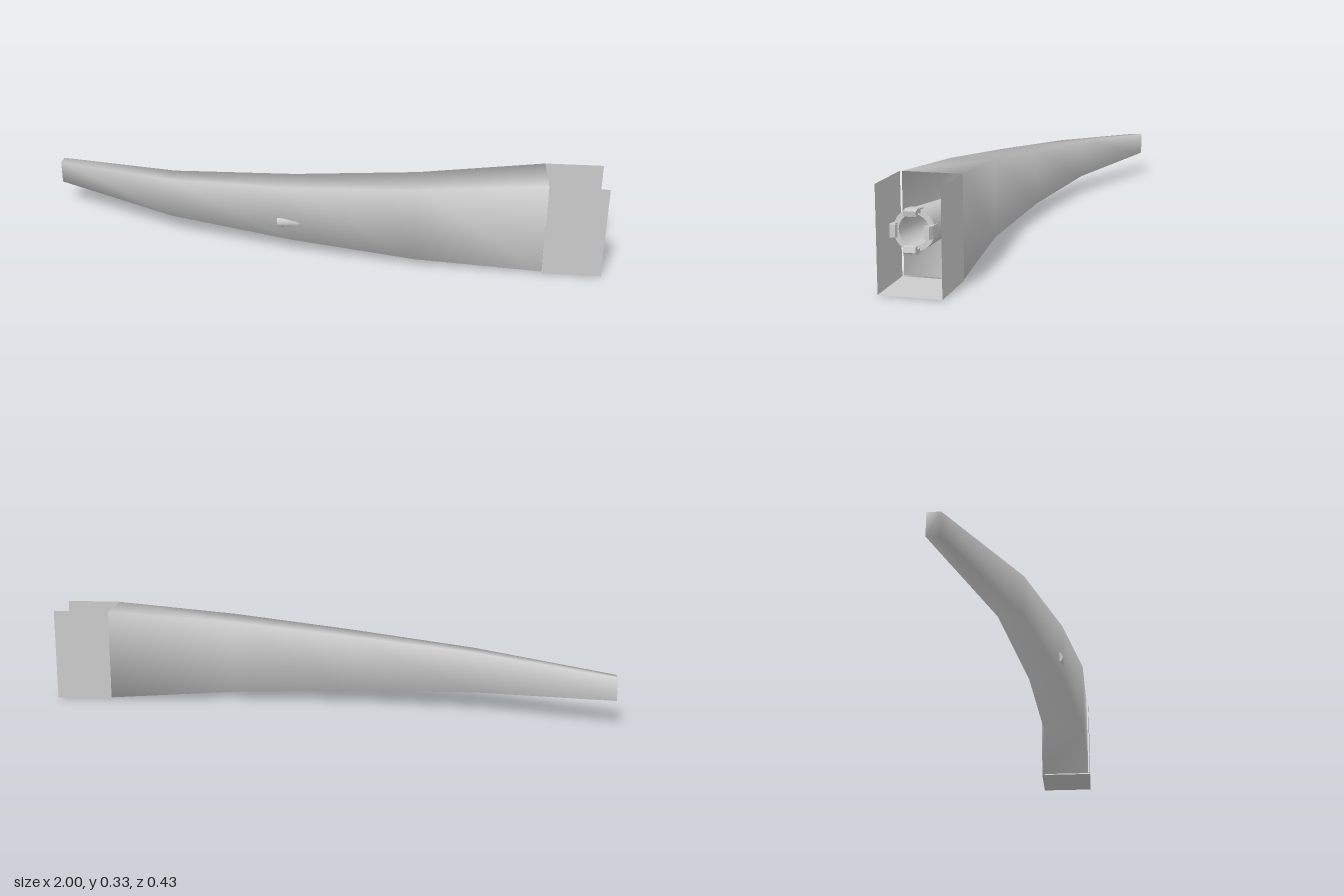
import * as THREE from 'three';

const material = new THREE.MeshStandardMaterial({ color: 0xcccccc, side: THREE.DoubleSide });

function add(parent, geometry, name) {
  const mesh = new THREE.Mesh(geometry, material);
  mesh.name = name;
  parent.add(mesh);
  return mesh;
}

// Hollow four-sided sleeve lofted through [x, yLow, yHigh, zBack, zFront], with shared smooth corners
function loft(sections) {
  const pos = [], idx = [];
  for (const [x, y0, y1, z0, z1] of sections) pos.push(x, y0, z0, x, y0, z1, x, y1, z1, x, y1, z0);
  for (let i = 0; i < sections.length - 1; i++) {
    for (let j = 0; j < 4; j++) {
      const a = i * 4 + j, b = i * 4 + (j + 1) % 4;
      idx.push(a, a + 4, b, b, a + 4, b + 4);
    }
  }
  idx.push(0, 1, 2, 0, 2, 3); // narrow end cap
  const g = new THREE.BufferGeometry();
  g.setAttribute('position', new THREE.Float32BufferAttribute(pos, 3));
  // keep the winding outward
  for (let k = 0; k < idx.length - 6; k += 3) [idx[k + 1], idx[k + 2]] = [idx[k + 2], idx[k + 1]];
  for (let k = idx.length - 6; k < idx.length; k += 3) {
    const [, b, c] = idx.slice(k, k + 3);
    const a = idx[k];
    const p = (n) => new THREE.Vector3().fromArray(pos, n * 3);
    const n = p(b).sub(p(a)).cross(p(c).sub(p(a)));
    if (n.x > 0) [idx[k + 1], idx[k + 2]] = [c, b];
  }
  const v = (n) => new THREE.Vector3().fromArray(pos, n * 3);
  if (v(idx[1]).sub(v(idx[0])).cross(v(idx[2]).sub(v(idx[0]))).y > 0) { // first side is the underside
    for (let k = 0; k < idx.length - 6; k += 3) [idx[k + 1], idx[k + 2]] = [idx[k + 2], idx[k + 1]];
  }
  g.setIndex(idx);
  g.computeVertexNormals();
  return g;
}

// Thin plate
function plate(parent, w, h, x, y, z, name) {
  const m = add(parent, new THREE.PlaneGeometry(w, h), name);
  m.position.set(x, y, z);
  return m;
}

export function createModel() {
  const model = new THREE.Group();
  model.name = 'curvedSleeve';

  // Long curved sleeve
  add(model, loft([
    [-1, 0.086, 0.167, -0.215, -0.172],
    [-0.53, 0.064, 0.208, -0.05, 0.033],
    [-0.08, 0.045, 0.247, 0.02, 0.14],
    [0.36, 0.024, 0.288, 0.05, 0.202],
    [0.8, 0.004, 0.327, 0.018, 0.209],
  ]), 'sleeve');

  // Open-topped mouth: two walls and a floor
  const mouth = new THREE.Group();
  mouth.name = 'mouth';
  model.add(mouth);
  plate(mouth, 0.2, 0.327, 0.9, 0.1635, 0.215, 'frontWall');
  plate(mouth, 0.2, 0.327, 0.9, 0.1635, 0.018, 'backWall').rotation.y = Math.PI;
  plate(mouth, 0.2, 0.197, 0.9, 0, 0.1165, 'floor').rotation.x = Math.PI / 2;

  // Tapered hollow core, sloping down inside the sleeve
  const core = new THREE.Group();
  core.name = 'core';
  core.position.set(0.94, 0.184, 0.122);
  core.rotation.z = -Math.PI / 2 + 0.073;
  model.add(core);
  const profile = (pts) => new THREE.LatheGeometry(pts.map(([r, y]) => new THREE.Vector2(r, y)), 20);
  add(core, profile([[0, -1.07], [0.019, -1.07]]), 'coreEnd');
  add(core, profile([[0.019, -1.07], [0.027, -0.9], [0.045, -0.5], [0.058, -0.15], [0.064, 0]]), 'coreShell');
  add(core, profile([[0.064, 0], [0.047, 0]]), 'coreRim');
  add(core, profile([[0.047, 0], [0.043, -0.15], [0.028, -0.4], [0, -0.45]]), 'coreBore');

  // Four curled claws around the rim
  const clawShape = new THREE.Shape([
    [0.046, -0.025], [0.064, -0.025], [0.066, 0.022], [0.06, 0.04],
    [0.044, 0.036], [0.041, 0.024], [0.053, 0.018], [0.05, 0],
  ].map(([r, y]) => new THREE.Vector2(r, y)));
  const clawGeometry = new THREE.ExtrudeGeometry(clawShape, { depth: 0.038, bevelEnabled: false });
  clawGeometry.translate(0, 0, -0.019);
  for (let i = 0; i < 4; i++) {
    const claw = add(core, clawGeometry, 'claw');
    claw.rotation.y = i * Math.PI / 2;
  }
  return model;
}
